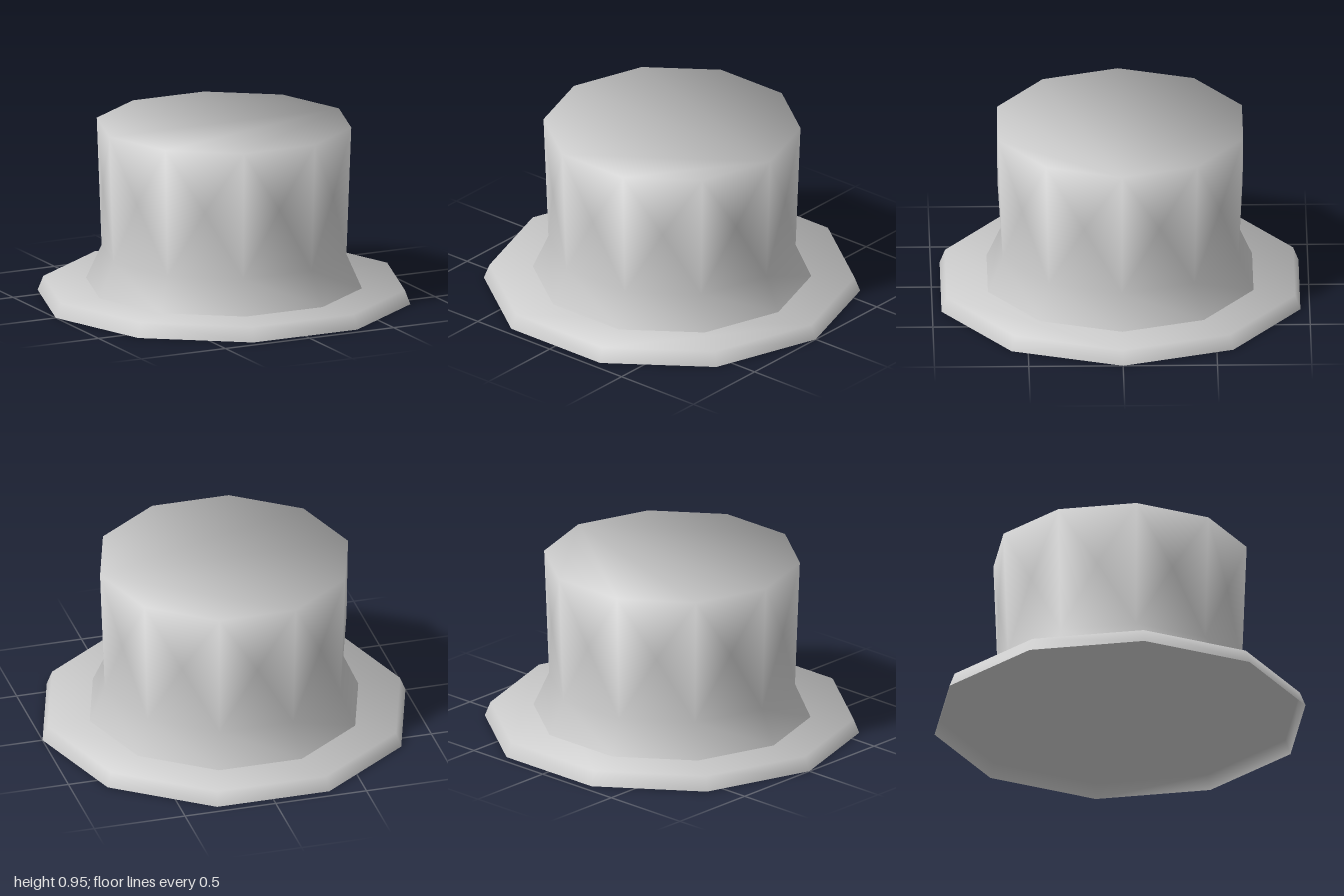
import * as THREE from 'three';

const SIDES = 10;
const material = new THREE.MeshStandardMaterial({ color: 0xcccccc, side: THREE.DoubleSide });

// Smooth normals, each face weighted by its corner angle
function smoothNormals(geometry) {
  const pos = geometry.attributes.position;
  const index = geometry.index.array;
  const sums = Array.from({ length: pos.count }, () => new THREE.Vector3());
  for (let f = 0; f < index.length; f += 3) {
    const ids = [0, 1, 2].map((k) => index[f + k]);
    const p = ids.map((i) => new THREE.Vector3().fromBufferAttribute(pos, i));
    const normal = new THREE.Triangle(...p).getNormal(new THREE.Vector3());
    ids.forEach((id, k) => {
      const u = p[(k + 1) % 3].clone().sub(p[k]);
      const v = p[(k + 2) % 3].clone().sub(p[k]);
      sums[id].addScaledVector(normal, u.angleTo(v));
    });
  }
  const normals = sums.flatMap((n) => n.normalize().toArray());
  geometry.setAttribute('normal', new THREE.Float32BufferAttribute(normals, 3));
}

// Ten-sided shell from [radius, height] rings, open below and closed on top.
// bulge = { row, radius, height } adds a raised point in the middle of each panel of that row.
function createShell(name, rings, bulge = null) {
  const positions = [];
  const faces = [];
  const addPoint = (r, y, step) => {
    const a = (step / SIDES) * Math.PI * 2;
    positions.push(r * Math.cos(a), y, r * Math.sin(a));
    return positions.length / 3 - 1;
  };
  for (const [r, y] of rings) {
    for (let i = 0; i < SIDES; i++) addPoint(r, y, i);
  }

  // Side panels
  for (let row = 0; row < rings.length - 1; row++) {
    for (let i = 0; i < SIDES; i++) {
      const j = (i + 1) % SIDES;
      const a = row * SIDES + i;
      const b = row * SIDES + j;
      const c = b + SIDES;
      const d = a + SIDES;
      if (bulge && bulge.row === row) {
        const m = addPoint(bulge.radius, bulge.height, i + 0.5);
        faces.push(a, d, m, d, c, m, c, b, m, b, a, m);
      } else {
        faces.push(a, d, c, a, c, b);
      }
    }
  }

  // Flat top
  const top = (rings.length - 1) * SIDES;
  for (let i = 1; i < SIDES - 1; i++) faces.push(top, top + i + 1, top + i);

  const geometry = new THREE.BufferGeometry();
  geometry.setAttribute('position', new THREE.Float32BufferAttribute(positions, 3));
  geometry.setIndex(faces);
  smoothNormals(geometry);
  const mesh = new THREE.Mesh(geometry, material);
  mesh.name = name;
  return mesh;
}

export function createModel() {
  const hat = new THREE.Group();
  hat.name = 'hat';

  // Thin bevelled brim, hollow underneath
  hat.add(createShell('brim', [[1, 0], [0.97, 0.077]]));

  // Crown with a flared foot and slightly bulging panels
  hat.add(createShell('crown', [[0.74, 0.077], [0.657, 0.26], [0.683, 0.953]], {
    row: 1, radius: 0.65, height: 0.62,
  }));

  return hat;
}
